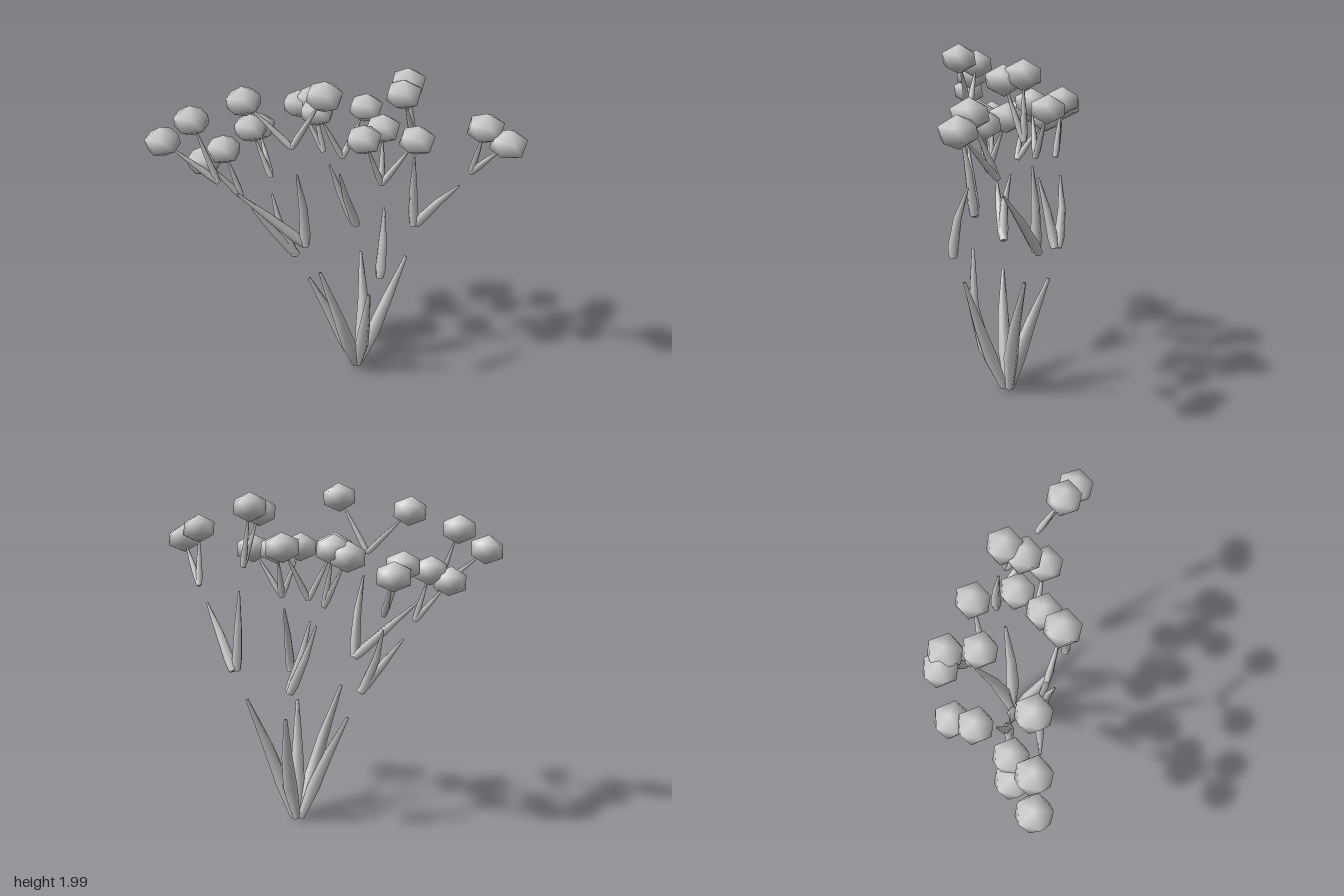
import * as THREE from 'three';
import { mergeVertices } from 'three/addons/utils/BufferGeometryUtils.js';

const material = new THREE.MeshStandardMaterial({ color: 0xcccccc });
const vec = (p) => new THREE.Vector3(...p);

// Tapered stem: a tube whose rings are re-spaced and scaled by a radius profile
function stem(name, points, radius, us, profile) {
  const curve = new THREE.CatmullRomCurve3(points.map(vec));
  const sides = 6;
  const geo = new THREE.TubeGeometry(curve, us.length - 1, 1, sides, false);
  const pos = geo.attributes.position, nor = geo.attributes.normal;
  us.forEach((u, i) => {
    const c = curve.getPointAt(u), r = radius * profile[i];
    for (let j = 0; j <= sides; j++) {
      const k = i * (sides + 1) + j;
      pos.setXYZ(k, c.x + nor.getX(k) * r, c.y + nor.getY(k) * r, c.z + nor.getZ(k) * r);
    }
  });
  geo.computeBoundingSphere();
  const mesh = new THREE.Mesh(geo, material);
  mesh.name = name;
  return mesh;
}

// Squashed, smooth-shaded twenty-sided ball standing on a corner
function blossomGeometry() {
  const ico = new THREE.IcosahedronGeometry(0.107, 0);
  ico.deleteAttribute('normal');
  ico.deleteAttribute('uv');
  const geo = mergeVertices(ico);
  geo.rotateX(-Math.atan((1 + Math.sqrt(5)) / 2)).scale(1, 0.79, 1);
  geo.computeVertexNormals();
  return geo;
}

// Lower stalks: base, bend, tip
const stalks = [
  [[0.17, 0.02, -0.01], [0.04, 0.34, -0.01], [-0.11, 0.65, -0.04]],
  [[0.17, 0.02, 0.02], [0.07, 0.38, 0.16], [-0.07, 0.8, 0.15]],
  [[0.19, 0.02, 0.02], [0.195, 0.3, 0.13], [0.2, 0.685, 0.25]],
  [[0.195, 0.02, -0.02], [0.235, 0.3, -0.08], [0.24, 0.69, -0.23]],
  [[0.21, 0.02, -0.01], [0.32, 0.35, 0.0], [0.48, 0.755, -0.03]],
];

// Middle branches: base, bend, tip
const branches = [
  [[-0.18, 0.81, -0.06], [-0.29, 0.95, -0.06], [-0.43, 1.13, -0.07]],
  [[-0.19, 0.81, -0.06], [-0.27, 1.0, -0.08], [-0.31, 1.19, -0.13]],
  [[-0.15, 0.98, 0.12], [-0.3, 1.12, 0.11], [-0.52, 1.32, 0.09]],
  [[-0.15, 0.98, 0.13], [-0.16, 1.2, 0.15], [-0.2, 1.46, 0.19]],
  [[0.245, 0.85, 0.32], [0.255, 1.0, 0.315], [0.275, 1.25, 0.24]],
  [[0.22, 0.86, -0.27], [0.16, 1.02, -0.25], [0.1, 1.25, -0.2]],
  [[0.21, 0.86, -0.29], [0.14, 1.02, -0.33], [0.06, 1.25, -0.34]],
  [[0.53, 0.94, -0.08], [0.52, 1.14, -0.08], [0.51, 1.4, -0.06]],
  [[0.55, 0.94, -0.09], [0.61, 1.08, -0.01], [0.725, 1.3, 0.14]],
];

// Flower clusters: shared twig base, then blossom centres
const clusters = [
  { base: [-0.62, 1.39, 0.07], blossoms: [[-0.9, 1.63, 0.02], [-0.74, 1.745, 0.03]] },
  { base: [-0.22, 1.6, 0.14], blossoms: [[-0.46, 1.845, 0.05], [-0.055, 1.915, 0.225]] },
  { base: [-0.49, 1.23, -0.05], blossoms: [[-0.685, 1.46, -0.07], [-0.575, 1.52, -0.07]] },
  { base: [-0.31, 1.28, -0.17], blossoms: [[-0.41, 1.565, -0.24], [-0.355, 1.52, -0.36]] },
  { base: [0.02, 1.35, -0.32], blossoms: [[-0.11, 1.63, -0.4], [-0.035, 1.665, -0.37]] },
  { base: [0.11, 1.37, -0.18], blossoms: [[-0.035, 1.66, -0.19], [0.25, 1.66, -0.21]] },
  { base: [0.28, 1.34, 0.13], blossoms: [[0.17, 1.63, 0.16], [0.3, 1.63, 0.03], [0.455, 1.62, 0.19]] },
  { base: [0.49, 1.53, -0.02], blossoms: [[0.4, 1.84, 0.07], [0.445, 1.87, -0.025]] },
  { base: [0.775, 1.4, 0.18], blossoms: [[0.79, 1.725, 0.32], [0.895, 1.66, 0.395]] },
];

export function createModel() {
  const group = new THREE.Group();
  group.name = 'floweringPlant';

  for (const p of stalks)
    group.add(stem('stalk', p, 0.043, [0, 0, 0.3, 0.6, 1, 1], [0, 0.55, 1, 0.75, 0.22, 0]));
  for (const p of branches)
    group.add(stem('branch', p, 0.031, [0, 0, 0.15, 0.55, 1, 1], [0, 0.75, 1, 0.75, 0.2, 0]));

  const ball = blossomGeometry();
  const up = new THREE.Vector3(0, 1, 0);
  for (const { base, blossoms } of clusters) {
    const cluster = new THREE.Group();
    cluster.name = 'flowerCluster';
    for (const b of blossoms) {
      const start = vec(base), centre = vec(b);
      const dir = centre.clone().sub(start).normalize();
      const end = centre.clone().addScaledVector(dir, -0.06);
      const mid = start.clone().lerp(end, 0.5);
      cluster.add(stem('twig', [start, mid, end].map((v) => v.toArray()), 0.02,
        [0, 0, 0.2, 0.6, 1, 1], [0, 0.8, 1, 0.7, 0.25, 0]));

      // Blossom leans slightly along its twig
      const blossom = new THREE.Mesh(ball, material);
      blossom.name = 'blossom';
      blossom.position.copy(centre);
      blossom.quaternion.slerp(new THREE.Quaternion().setFromUnitVectors(up, dir), 0.12);
      cluster.add(blossom);
    }
    group.add(cluster);
  }
  return group;
}
